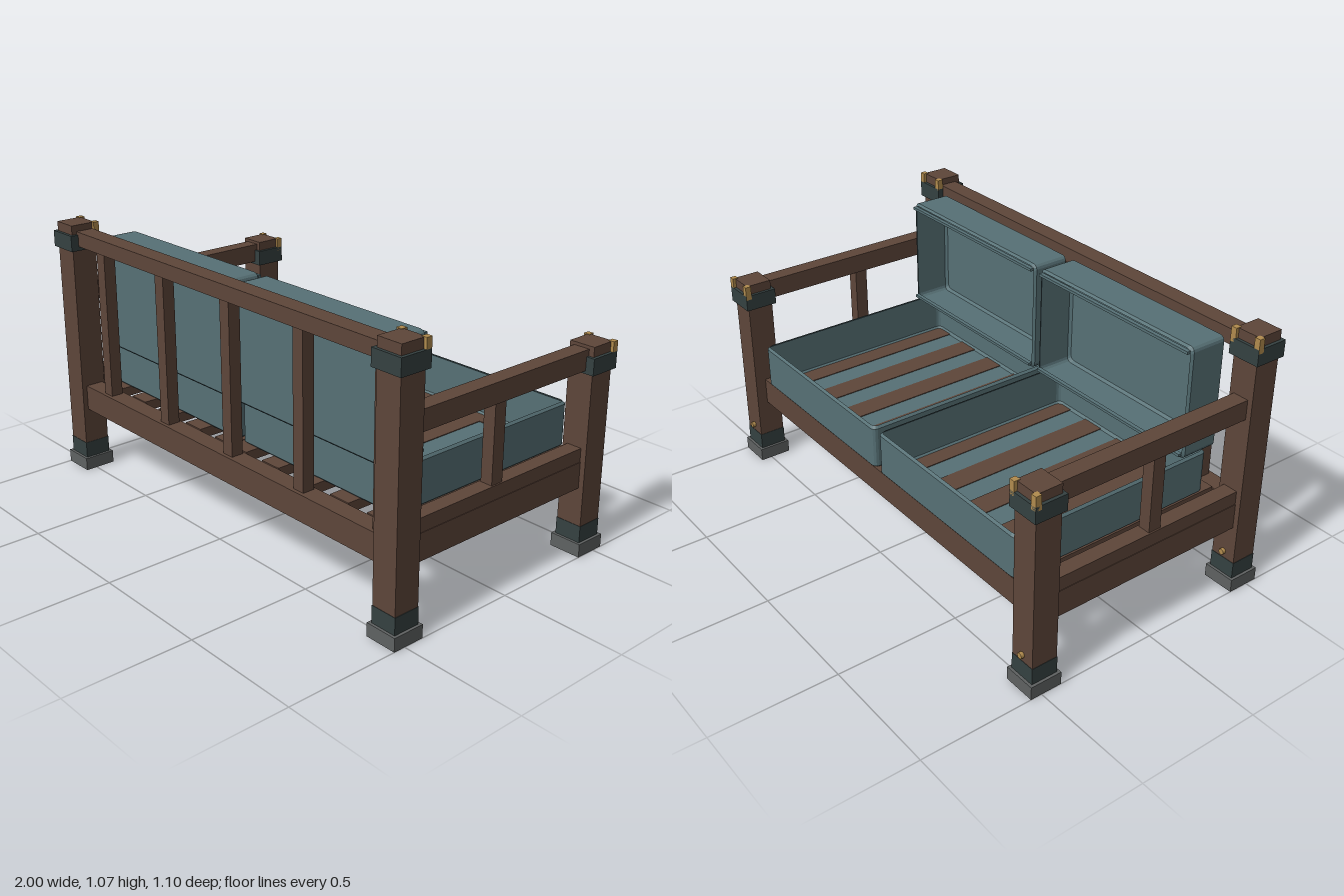
import * as THREE from 'three';

const mat = (name, color) => {
  const m = new THREE.MeshStandardMaterial({ color });
  m.name = name;
  return m;
};

export function createModel() {
  const wood = mat('brown wood', 0x5e463a);
  const cloth = mat('teal fabric', 0x577176);
  const iron = mat('dark metal', 0x354141);
  const stone = mat('grey foot', 0x5f6262);
  const brass = mat('brass', 0xb28c4e);
  cloth.side = THREE.DoubleSide;

  const root = new THREE.Group();
  root.name = 'slattedSofa';

  // Box given by its limits on each axis
  const box = (name, m, [x0, x1], [y0, y1], [z0, z1], parent = root) => {
    const mesh = new THREE.Mesh(new THREE.BoxGeometry(x1 - x0, y1 - y0, z1 - z0), m);
    mesh.position.set((x0 + x1) / 2, (y0 + y1) / 2, (z0 + z1) / 2);
    mesh.name = name;
    parent.add(mesh);
    return mesh;
  };
  const around = (c, size) => [c - size / 2, c + size / 2];

  // Posts with foot, bands, corner studs and a bolt
  const post = (name, x, z, top, collarTop) => {
    const g = new THREE.Group();
    g.name = name;
    root.add(g);
    const sq = (n, m, size, y0, y1) => box(n, m, around(x, size), [y0, y1], around(z, size), g);
    sq('foot', stone, 0.132, 0, 0.053);
    sq('lowerBand', iron, 0.11, 0.053, 0.12);
    sq('shaft', wood, 0.107, 0.12, top);
    sq('collar', iron, 0.132, collarTop - 0.065, collarTop);
    for (const s of [-1, 1]) {
      box('cornerStud', brass, around(x + s * 0.054, 0.024), [top - 0.055, top + 0.002],
        around(z - 0.054, 0.024), g);
    }
    const bolt = new THREE.Mesh(new THREE.CylinderGeometry(0.012, 0.012, 0.03, 8), brass);
    bolt.rotation.x = Math.PI / 2;
    bolt.position.set(x, 0.148, z - 0.052);
    bolt.name = 'bolt';
    g.add(bolt);
  };

  for (const s of [-1, 1]) {
    const side = s > 0 ? 'left' : 'right';
    post(side + 'TallPost', s * 0.934, 0.482, 1.066, 1.028);
    post(side + 'ShortPost', s * 0.934, -0.48, 0.826, 0.788);

    // Side frame: lower rail, ledge, armrest and its support
    box(side + 'SideRail', wood, around(s * 0.933, 0.066), [0.27, 0.375], [-0.43, 0.43]);
    box(side + 'SideLedge', wood, around(s * 0.933, 0.062), [0.375, 0.43], [-0.43, 0.43]);
    box(side + 'Armrest', wood, around(s * 0.933, 0.066), [0.735, 0.814], [-0.43, 0.43]);
    box(side + 'ArmSupport', wood, around(s * 0.933, 0.05), [0.43, 0.735], [0, 0.054]);
  }

  // Long rails
  box('topRail', wood, [-0.88, 0.88], [0.98, 1.04], [0.44, 0.515]);
  box('tallSideRail', wood, [-0.88, 0.88], [0.27, 0.375], [0.44, 0.515]);
  box('seatEdgeRail', wood, [-0.88, 0.88], [0.27, 0.38], [-0.49, -0.43]);

  // Upright backrest slats
  for (let i = 0; i < 5; i++) {
    box('backSlat', wood, around(-0.735 + i * 0.4, 0.052), [0.364, 0.985], [0.45, 0.5]);
  }

  // Seat slats in two groups of five
  for (const start of [-0.79, 0.052]) {
    for (let i = 0; i < 5; i++) {
      box('seatSlat', wood, around(start + i * 0.186, 0.094), [0.34, 0.38], [-0.43, 0.44]);
    }
  }

  // Cushion shell: rounded outline lofted upwards, closed below and open above
  const shell = (w, d, h) => {
    const ring = (inset, y) => {
      const a = w / 2 - inset, b = d / 2 - inset, r = 0.02, pts = [];
      const corners = [[1, 1], [-1, 1], [-1, -1], [1, -1]];
      corners.forEach(([sx, sz], q) => {
        for (let k = 0; k <= 3; k++) {
          const t = (q + k / 3) * Math.PI / 2;
          pts.push([sx * (a - r) + r * Math.cos(t), y, sz * (b - r) + r * Math.sin(t)]);
        }
      });
      return pts;
    };
    const rings = [ring(0.01, 0), ring(0, 0.01), ring(0, h - 0.01), ring(0.008, h)];
    const n = rings[0].length, index = [];
    const pos = rings.flat(2).concat([0, 0, 0]);
    for (let i = 0; i < n; i++) {
      const j = (i + 1) % n;
      index.push(rings.length * n, i, j);
      for (let k = 0; k < rings.length - 1; k++) {
        const a = k * n + i, b = k * n + j;
        index.push(a, a + n, b, b, a + n, b + n);
      }
    }
    const geo = new THREE.BufferGeometry();
    geo.setAttribute('position', new THREE.Float32BufferAttribute(pos, 3));
    geo.setIndex(index);
    const flat = geo.toNonIndexed();
    flat.computeVertexNormals();
    return flat;
  };

  for (const s of [-1, 1]) {
    const side = s > 0 ? 'left' : 'right';
    const x = s * 0.426;
    const seat = new THREE.Mesh(shell(0.82, 0.885, 0.183), cloth);
    seat.position.set(x, 0.377, -0.0525);
    seat.name = side + 'SeatCushion';
    root.add(seat);

    const back = new THREE.Mesh(shell(0.82, 0.453, 0.165), cloth);
    back.rotation.x = -Math.PI / 2;
    back.position.set(x, 0.7865, 0.433);
    back.name = side + 'BackCushion';
    root.add(back);

    // Piping along the open edge of the back cushion
    for (const y of [0.994, 0.58]) {
      box(side + 'Piping', cloth, around(x, 0.8), around(y, 0.011), [0.255, 0.272]);
    }
  }

  return root;
}
